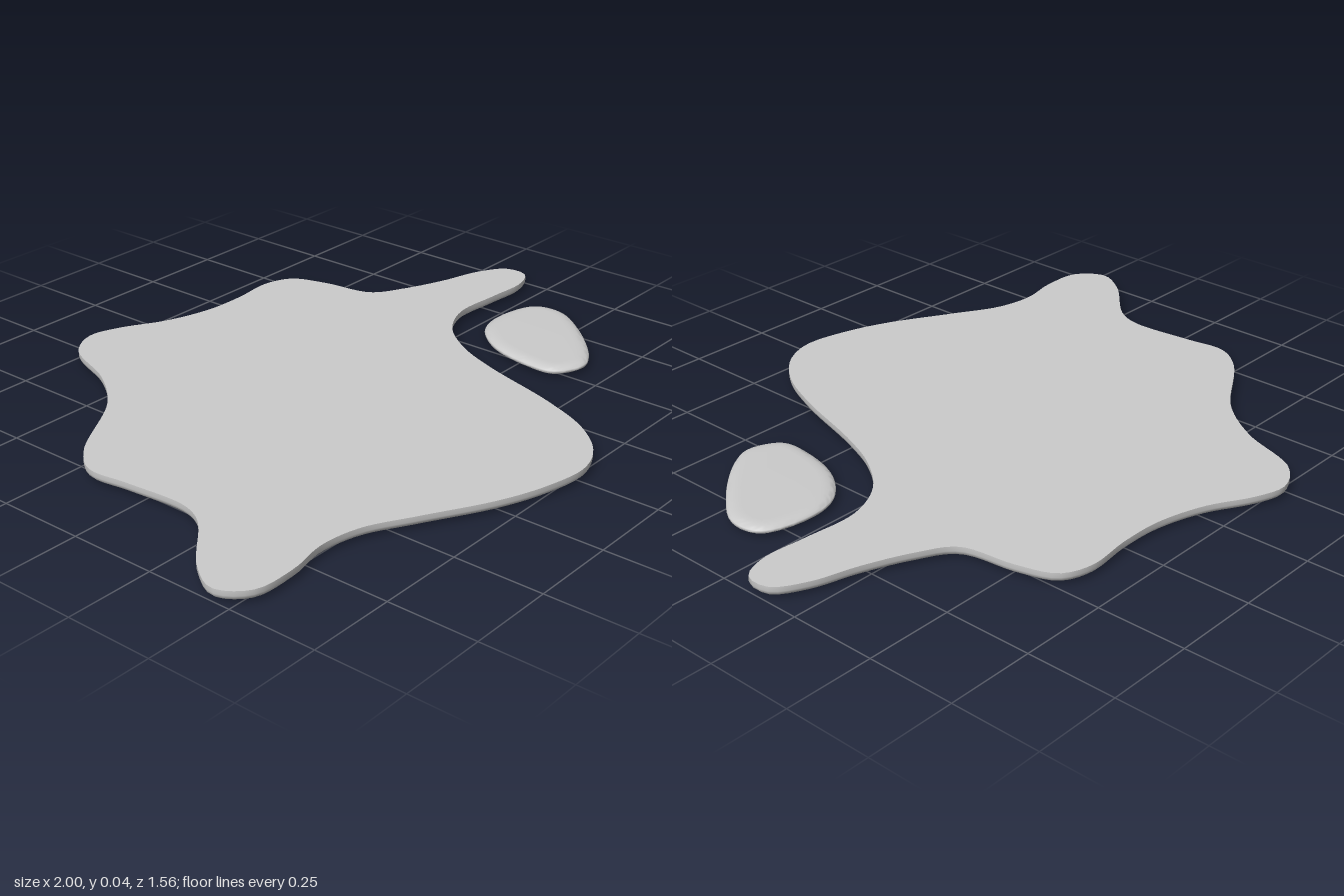
import * as THREE from 'three';
import { toCreasedNormals } from 'three/addons/utils/BufferGeometryUtils.js';

const material = new THREE.MeshStandardMaterial({ color: 0xcccccc });

// Outlines as [x, z], clockwise seen from above
const puddleOutline = [
  [-0.22, -0.783], [-0.13, -0.76], [0, -0.69], [0.14, -0.65], [0.27, -0.645], [0.41, -0.655],
  [0.49, -0.62], [0.53, -0.515], [0.56, -0.36], [0.65, -0.3], [0.78, -0.245], [0.91, -0.205],
  [0.99, -0.15], [0.99, -0.08], [0.915, -0.045], [0.78, -0.05], [0.62, -0.055], [0.5, 0],
  [0.41, 0.11], [0.35, 0.245], [0.27, 0.495], [0.2, 0.645], [0.11, 0.74], [0.01, 0.778],
  [-0.12, 0.76], [-0.26, 0.71], [-0.45, 0.605], [-0.58, 0.535], [-0.7, 0.515], [-0.82, 0.535],
  [-0.945, 0.525], [-1, 0.45], [-0.955, 0.36], [-0.8, 0.21], [-0.77, 0.135], [-0.78, -0.05],
  [-0.79, -0.175], [-0.73, -0.26], [-0.5, -0.415], [-0.395, -0.55], [-0.315, -0.73],
];
const dropOutline = [
  [0.7, 0.035], [0.82, 0.075], [0.835, 0.16], [0.755, 0.28], [0.62, 0.4], [0.55, 0.425],
  [0.465, 0.38], [0.46, 0.285], [0.5, 0.15], [0.59, 0.055],
];

// Sweeps an edge profile of [inset, y] pairs (bottom to top) round an outline and caps both ends
function blob(name, outline, profile, count, crease) {
  const curve = new THREE.CatmullRomCurve3(outline.map(([x, z]) => new THREE.Vector3(x, 0, z)), true);
  const rings = profile.map(() => []);
  for (let i = 0; i < count; i++) {
    const p = curve.getPointAt(i / count);
    const t = curve.getTangentAt(i / count);
    profile.forEach(([inset, y], k) => {
      rings[k].push(new THREE.Vector3(p.x - t.z * inset, y, p.z + t.x * inset));
    });
  }

  const positions = rings.flat().flatMap((p) => [p.x, p.y, p.z]);
  const index = [];
  // Edge wall
  for (let k = 0; k < rings.length - 1; k++) {
    for (let i = 0; i < count; i++) {
      const j = (i + 1) % count;
      const a = k * count + i, b = k * count + j;
      index.push(b, a, a + count, b, a + count, b + count);
    }
  }
  // Flat underside and top
  const capFaces = (ring) =>
    THREE.ShapeUtils.triangulateShape(ring.map((p) => new THREE.Vector2(p.x, p.z)), []);
  const top = (rings.length - 1) * count;
  for (const [a, b, c] of capFaces(rings[0])) index.push(a, b, c);
  for (const [a, b, c] of capFaces(rings[rings.length - 1])) index.push(top + a, top + c, top + b);

  const geometry = new THREE.BufferGeometry();
  geometry.setAttribute('position', new THREE.Float32BufferAttribute(positions, 3));
  geometry.setIndex(index);
  const mesh = new THREE.Mesh(toCreasedNormals(geometry, crease), material);
  mesh.name = name;
  return mesh;
}

export function createModel() {
  const group = new THREE.Group();
  group.name = 'puddle';

  // Main pool: crisp flat top, rounded underside edge
  const poolProfile = [
    [0.045, 0], [0.03, 0.001], [0.018, 0.004], [0.008, 0.009], [0.002, 0.015], [0, 0.022], [0, 0.035],
  ];
  group.add(blob('pool', puddleOutline, poolProfile, 240, 0.9));

  // Separate drop: softly rounded above and below
  const dropProfile = [];
  for (let i = 0; i <= 10; i++) {
    const a = (i / 10 - 0.5) * Math.PI;
    dropProfile.push([0.04 * (1 - Math.cos(a)), 0.017 + 0.013 * Math.sin(a)]);
  }
  group.add(blob('drop', dropOutline, dropProfile, 96, 1.2));

  return group;
}
